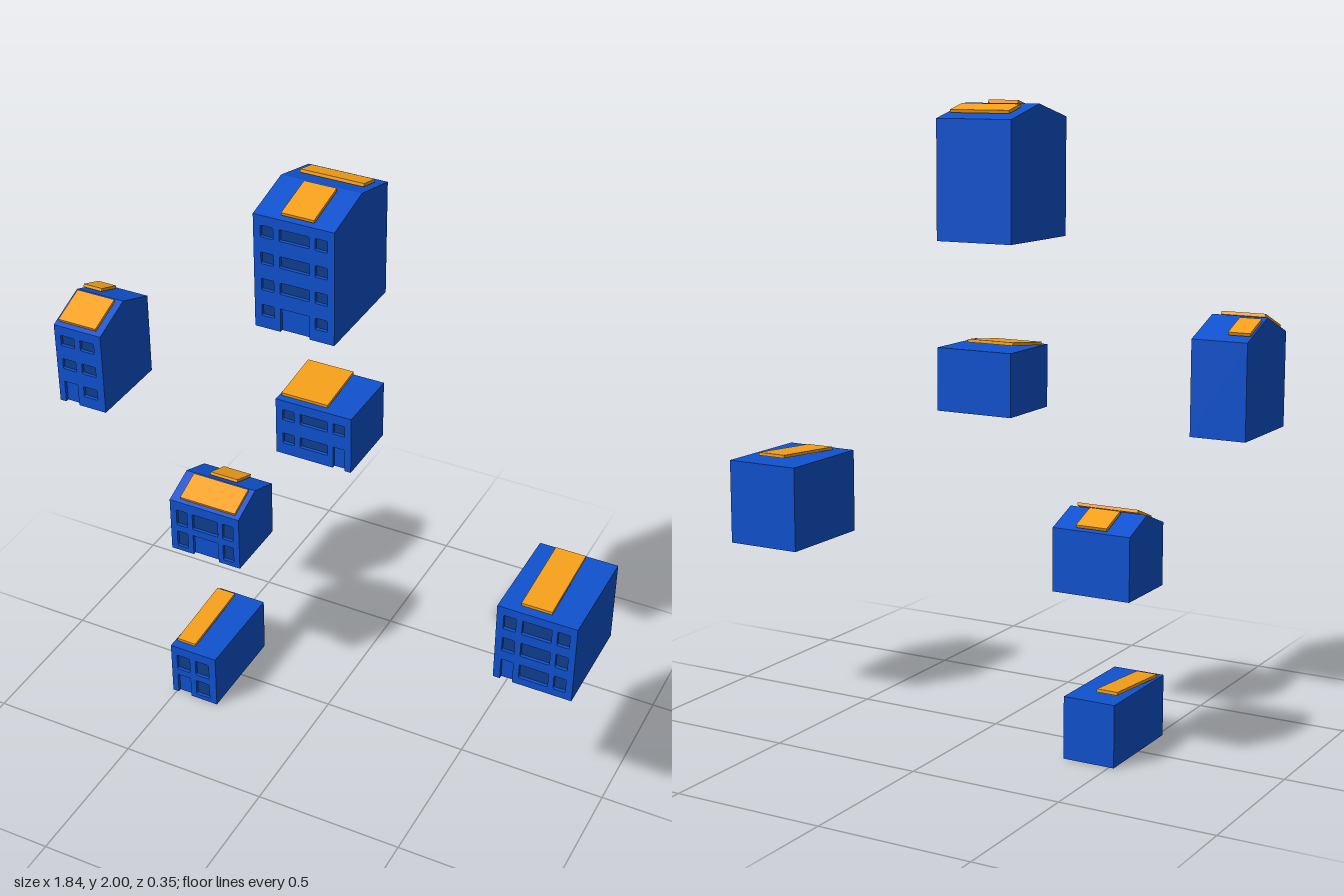
import * as THREE from 'three';

const wall = new THREE.MeshStandardMaterial({ color: 0x0f52d0 });
const glass = new THREE.MeshStandardMaterial({ color: 0x113f8f });
const panelMat = new THREE.MeshStandardMaterial({ color: 0xf5a019 });

const RECESS = 0.012, FLOOR = 0.087, OPENING_TOP = 0.078;
// Window columns [start, end] measured from the left edge of the facade
const COLUMNS = {
  2: [[0.022, 0.072], [0.094, 0.146]],
  3: [[0.023, 0.064], [0.084, 0.18], [0.198, 0.238]],
};

function addMesh(group, name, geometry, material) {
  const mesh = new THREE.Mesh(geometry, material);
  mesh.name = name;
  group.add(mesh);
  return mesh;
}

function roundedHole(x0, x1, y0, y1, r = 0.004) {
  const p = new THREE.Path();
  p.absarc(x0 + r, y0 + r, r, Math.PI, Math.PI * 1.5);
  p.absarc(x1 - r, y0 + r, r, Math.PI * 1.5, Math.PI * 2);
  p.absarc(x1 - r, y1 - r, r, 0, Math.PI / 2);
  p.absarc(x0 + r, y1 - r, r, Math.PI / 2, Math.PI);
  p.closePath();
  return p;
}

// Tilted roof panel whose underside runs from (zF, yF) to (zB, yB)
function addPanel(group, x0, x1, zF, yF, zB, yB) {
  const t = 0.01, dz = zF - zB, dy = yB - yF;
  const tilt = Math.atan2(dy, dz);
  const panel = addMesh(group, 'roofPanel', new THREE.BoxGeometry(x1 - x0, t, Math.hypot(dz, dy)), panelMat);
  panel.rotation.x = tilt;
  panel.position.set((x0 + x1) / 2, (yF + yB) / 2 + Math.cos(tilt) * t / 2, (zF + zB) / 2 + Math.sin(tilt) * t / 2);
}

function makeBuilding({ name, x, y, w, h, front, ridge = 0, rows, cols, door, windowH, panels }) {
  const g = new THREE.Group();
  g.name = name;
  g.position.set(x, y, 0);
  const back = -0.174, mid = (front + back) / 2, inner = front - RECESS;
  const lip = h - 0.012; // the facade layer stops just under the eaves

  // Body: side profile swept across the width, with a step for the facade layer
  const profile = [[back, 0], [inner, 0], [inner, lip], [front, lip], [front, h]];
  if (ridge) profile.push([mid, h + ridge]);
  profile.push([back, h]);
  const body = new THREE.ExtrudeGeometry(
    new THREE.Shape(profile.map(([a, b]) => new THREE.Vector2(a, b))), { depth: w, bevelEnabled: false });
  body.rotateY(-Math.PI / 2).translate(w, 0, 0);
  addMesh(g, 'bodyAndRoof', body, wall);

  // Facade: outline notched by the doorway, pierced by windows
  const columns = COLUMNS[cols], [d0, d1] = columns[door];
  const facade = new THREE.Shape([
    [0, 0], [d0, 0], [d0, OPENING_TOP], [d1, OPENING_TOP], [d1, 0], [w, 0], [w, lip], [0, lip],
  ].map(([a, b]) => new THREE.Vector2(a, b)));
  for (let r = 0; r < rows; r++) {
    columns.forEach(([x0, x1], c) => {
      if (r === 0 && c === door) return;
      const y1 = OPENING_TOP + r * FLOOR, y0 = y1 - windowH;
      facade.holes.push(roundedHole(x0, x1, y0, y1));
      const pane = addMesh(g, 'windowPane', new THREE.PlaneGeometry(x1 - x0, windowH), glass);
      pane.position.set((x0 + x1) / 2, (y0 + y1) / 2, inner + 0.001);
    });
  }
  const skin = new THREE.ExtrudeGeometry(facade, { depth: RECESS, bevelEnabled: false, curveSegments: 3 });
  addMesh(g, 'facade', skin.translate(0, 0, inner), wall);

  // Roof panels: parallel to a gabled roof, or propped up at the back of a flat one
  const roofY = z => h + ridge * (1 - Math.abs(z - mid) / (front - mid)) + 0.004;
  for (const [x0, x1, zF, zB] of panels) {
    const [yF, yB] = ridge ? [roofY(zF), roofY(zB)] : [h, h + 0.02];
    addPanel(g, x0 - x, x1 - x, zF, yF, zB, yB);
  }
  return g;
}

export function createModel() {
  const model = new THREE.Group();
  model.name = 'buildings';
  const buildings = [
    { name: 'tallGabledBlock', x: -0.153, y: 1.577, w: 0.26, h: 0.371, front: 0.174, ridge: 0.043,
      rows: 4, cols: 3, door: 1, windowH: 0.038,
      panels: [[-0.068, 0.037, 0.16, 0.017], [-0.12, 0.086, -0.055, -0.126]] },
    { name: 'narrowGabledHouse', x: -0.921, y: 1.051, w: 0.173, h: 0.286, front: 0.115, ridge: 0.056,
      rows: 3, cols: 2, door: 0, windowH: 0.038,
      panels: [[-0.908, -0.77, 0.102, -0.017], [-0.918, -0.85, -0.062, -0.146]] },
    { name: 'lowFlatBlock', x: -0.153, y: 1.051, w: 0.26, h: 0.198, front: 0.058,
      rows: 2, cols: 3, door: 2, windowH: 0.038,
      panels: [[-0.145, 0.014, 0.032, -0.148]] },
    { name: 'wideGabledHouse', x: -0.56, y: 0.528, w: 0.26, h: 0.2, front: 0.058, ridge: 0.045,
      rows: 2, cols: 3, door: 1, windowH: 0.061,
      panels: [[-0.523, -0.317, 0.048, -0.047], [-0.48, -0.377, -0.075, -0.166]] },
    { name: 'mediumFlatBlock', x: 0.66, y: 0.528, w: 0.26, h: 0.282, front: 0.174,
      rows: 3, cols: 3, door: 0, windowH: 0.052,
      panels: [[0.725, 0.825, 0.141, -0.139]] },
    { name: 'smallFlatHouse', x: -0.515, y: 0, w: 0.173, h: 0.2, front: 0.174,
      rows: 2, cols: 2, door: 0, windowH: 0.061,
      panels: [[-0.507, -0.437, 0.141, -0.139]] },
  ];
  for (const spec of buildings) model.add(makeBuilding(spec));
  return model;
}
